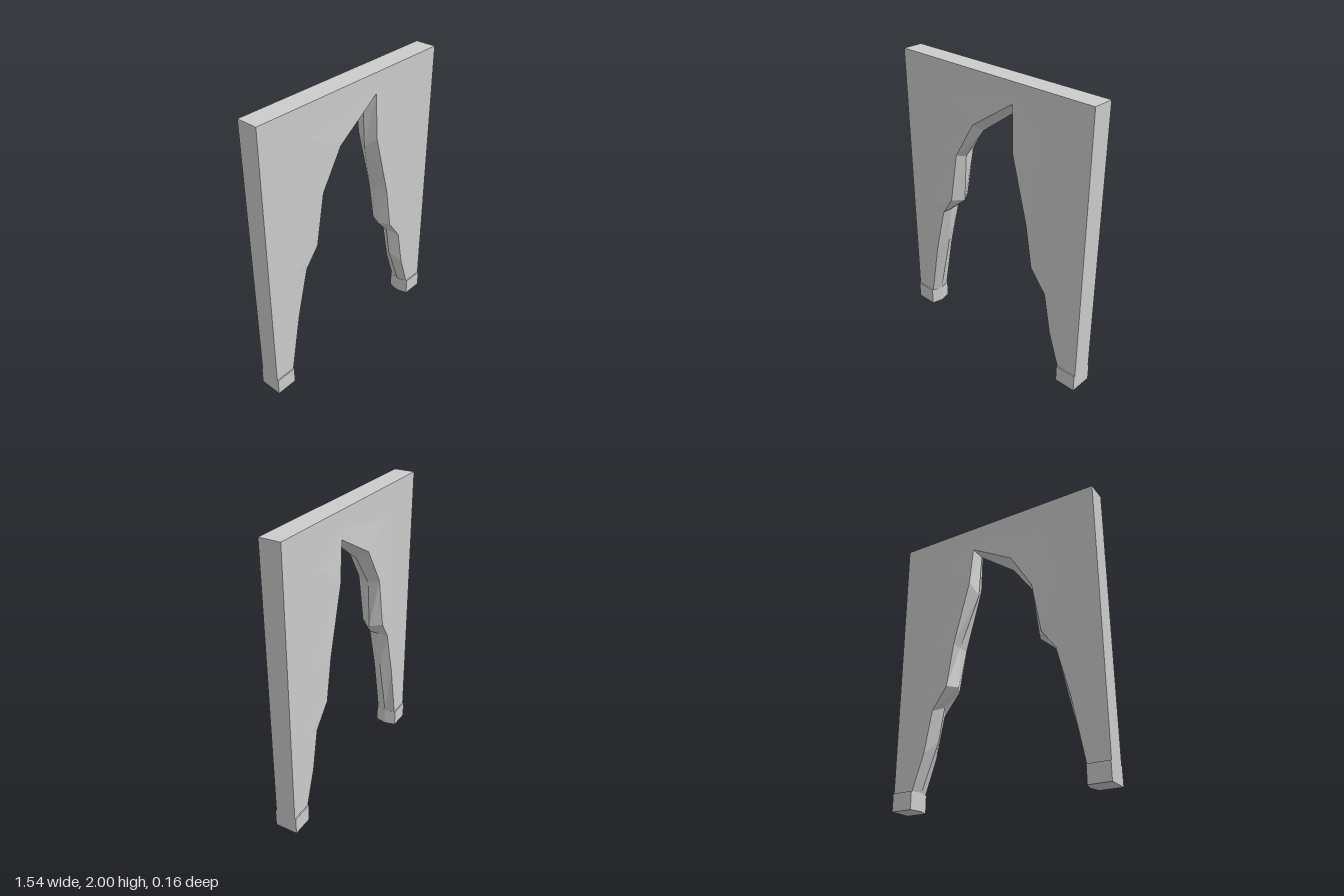
import * as THREE from 'three';

const W = 0.77, T = 0.072, B = 0.079, FOOT = 0.12;

// Stations around the broken opening, from left foot up and over to right foot:
// arris on the wall faces, its half thickness, ridge inside the opening, point on the outer frame
const stations = [
  { edge: [-0.62, 0.12], z: T, ridge: [-0.60, 0.12], frame: [-W, 0.12] },
  { edge: [-0.54, 0.55], z: T, ridge: [-0.49, 0.60], frame: [-W, 0.55] },
  { edge: [-0.455, 0.885], z: T, ridge: [-0.453, 0.885], frame: [-W, 0.885] },
  { edge: [-0.36, 1.02], z: B, ridge: [-0.31, 1.01], frame: [-W, 1.02] },
  { edge: [-0.297, 1.38], z: B, ridge: [-0.285, 1.355], frame: [-W, 1.38] },
  { edge: [-0.14, 1.64], z: B, ridge: [-0.12, 1.585], frame: [-W, 2] },
  { edge: [0.187, 1.863], back: [0.175, 1.82], z: 0.073, ridge: [0.15, 1.785], frame: [0.187, 2] },
  { edge: [0.20, 1.55], z: B, ridge: [0.17, 1.475], frame: [W, 2] },
  { edge: [0.32, 1.10], z: B, ridge: [0.318, 1.10], frame: [W, 1.10] },
  { edge: [0.37, 0.80], z: 0.078, ridge: [0.325, 0.805], frame: [W, 0.80] },
  { edge: [0.485, 0.645], z: T, ridge: [0.435, 0.68], frame: [W, 0.645] },
  { edge: [0.54, 0.36], z: T, ridge: [0.475, 0.45], frame: [W, 0.36] },
  { edge: [0.62, 0.12], z: T, ridge: [0.60, 0.12], frame: [W, 0.12] },
];

// Closed cross-section of the wall at one station, front to back
function section({ edge, back = edge, z, ridge, frame }) {
  const fade = (p) => [p[0] + (frame[0] - p[0]) * 0.4, p[1] + (frame[1] - p[1]) * 0.4];
  return [
    [...frame, T], [...fade(edge), T], [...edge, z],
    [...ridge, 0],
    [...back, -z], [...fade(back), -T], [...frame, -T],
  ];
}

// Skin consecutive cross-sections
function loft(sections) {
  const n = sections[0].length, index = [];
  for (let i = 0; i < sections.length - 1; i++) {
    for (let j = 0; j < n; j++) {
      const k = (j + 1) % n, a = i * n, b = a + n;
      index.push(a + j, a + k, b + k, a + j, b + k, b + j);
    }
  }
  const g = new THREE.BufferGeometry();
  g.setAttribute('position', new THREE.Float32BufferAttribute(sections.flat(2), 3));
  g.setIndex(index);
  const flat = g.toNonIndexed();
  flat.computeVertexNormals();
  return flat;
}

// Five-sided plinth block, pointed towards the opening
function footGeometry(side) {
  const outline = [[W, -0.08], [W, 0.08], [0.62, 0.08], [0.60, 0], [0.62, -0.08]];
  const shape = new THREE.Shape(outline.map(([x, y]) => new THREE.Vector2(side * x, y)));
  const g = new THREE.ExtrudeGeometry(shape, { depth: FOOT, bevelEnabled: false });
  return g.rotateX(-Math.PI / 2);
}

export function createModel() {
  const model = new THREE.Group();
  model.name = 'brokenWall';
  const material = new THREE.MeshStandardMaterial({ color: 0xcccccc, flatShading: true });
  const add = (name, geometry) => {
    const mesh = new THREE.Mesh(geometry, material);
    mesh.name = name;
    model.add(mesh);
  };

  add('wall', loft(stations.map(section)));
  add('leftFoot', footGeometry(1));
  add('rightFoot', footGeometry(-1));
  return model;
}
